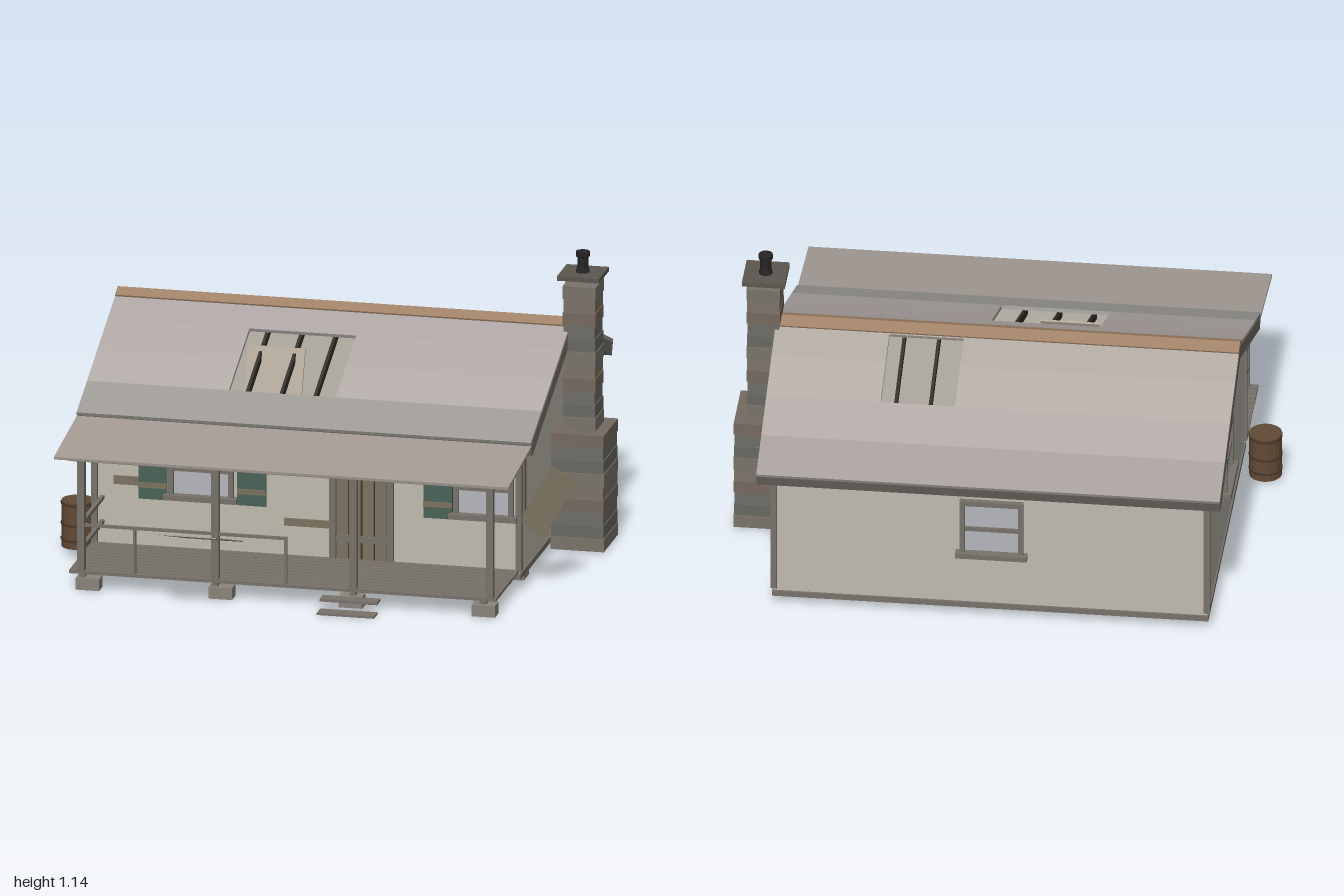
import * as THREE from 'three';

const mats = {};
const mat = (color) => (mats[color] ??= new THREE.MeshStandardMaterial({ color, flatShading: true, side: THREE.DoubleSide }));
const WALL = 0xc0bbb0, TRIM = 0x78726a, WOOD = 0x7c725f, DARK = 0x35312c, GREEN = 0x4a6258, GLASS = 0xb4b7bd;

// Box given by its ranges on x, y and z
function box(parent, name, [x0, x1], [y0, y1], [z0, z1], color) {
  const m = new THREE.Mesh(new THREE.BoxGeometry(x1 - x0, y1 - y0, z1 - z0), mat(color));
  m.position.set((x0 + x1) / 2, (y0 + y1) / 2, (z0 + z1) / 2);
  m.name = name;
  parent.add(m);
  return m;
}

function group(parent, name) {
  const g = new THREE.Group();
  g.name = name;
  parent.add(g);
  return g;
}

const XL = -0.84, XR = 0.79, ZF = 0.32, ZB = -0.92;
const RIDGE_Y = 0.875, RIDGE_Z = -0.3, ANGLE = 0.392, COS = Math.cos(ANGLE);
const ROOF_X = [-0.895, 0.85];

// Sash window facing local +z, centred on x = 0
function makeWindow(parent, name, w) {
  const g = group(parent, name), h = w / 2;
  box(g, 'glass', [-h, h], [0.285, 0.49], [0, 0.006], GLASS);
  for (const s of [-1, 1]) {
    const a = s * h, b = s * (h + 0.02);
    box(g, 'frameSide', [Math.min(a, b), Math.max(a, b)], [0.275, 0.5], [0, 0.018], TRIM);
  }
  box(g, 'frameTop', [-h - 0.02, h + 0.02], [0.485, 0.505], [0, 0.02], TRIM);
  box(g, 'sashBar', [-h, h], [0.373, 0.39], [0, 0.014], TRIM);
  box(g, 'sill', [-h - 0.035, h + 0.035], [0.262, 0.282], [0, 0.035], TRIM);
  return g;
}

function makeShutter(parent, x) {
  const g = group(parent, 'shutter');
  box(g, 'shutterPanel', [x - 0.055, x + 0.055], [0.255, 0.495], [ZF, ZF + 0.012], GREEN);
  for (const y of [0.3, 0.45]) box(g, 'shutterBatten', [x - 0.055, x + 0.055], [y, y + 0.02], [ZF, ZF + 0.018], WOOD);
}

// One roof slope in courses; hole = [x0, x1, d0, d1] with d measured level from the ridge
function makeSlope(parent, dir, cuts, hole, colors) {
  const g = group(parent, dir > 0 ? 'frontRoofSlope' : 'backRoofSlope');
  g.position.set(0, RIDGE_Y, RIDGE_Z);
  g.rotation.x = dir * ANGLE;
  const span = (a, b) => [a, b].map((d) => (dir * d) / COS).sort((p, q) => p - q);
  const end = cuts.at(-1);
  for (let i = 0; i + 1 < cuts.length; i++) {
    const open = cuts[i] >= hole[2] && cuts[i + 1] <= hole[3];
    const pieces = open ? [[ROOF_X[0], hole[0]], [hole[1], ROOF_X[1]]] : [ROOF_X];
    for (const p of pieces) box(g, 'roofCourse', p, [-0.014, 0], span(cuts[i], cuts[i + 1]), colors[i]);
  }
  for (let x = -0.805; x < 0.78; x += 0.13) box(g, 'rafter', [x - 0.006, x + 0.006], [-0.045, -0.015], span(0.02, end - 0.1), DARK);
  for (const x of [ROOF_X[0], ROOF_X[1] - 0.02]) box(g, 'bargeboard', [x, x + 0.02], [-0.062, -0.013], span(0, end), TRIM);
  box(g, 'fascia', ROOF_X, [-0.062, -0.013], span(end - 0.018, end), TRIM);
  box(g, 'ridgeCap', ROOF_X, [0, 0.007], span(-0.002, 0.045), 0xa08268);
}

function makeHouse(root) {
  const g = group(root, 'house');
  // Floor with timber sill around it
  box(g, 'underfloor', [XL, XR], [0.035, 0.055], [ZB, ZF], DARK);
  box(g, 'floorBoards', [XL + 0.02, XR - 0.02], [0.056, 0.062], [ZB + 0.02, ZF - 0.02], WOOD);
  for (const z of [ZF, ZB]) box(g, 'sillBeam', [XL - 0.006, XR + 0.006], [0.034, 0.056], [z - 0.008, z + 0.008], TRIM);
  for (const x of [XL, XR]) box(g, 'sillBeam', [x - 0.006, x + 0.006], [0.034, 0.056], [ZB, ZF], TRIM);
  // Walls
  box(g, 'frontWall', [XL, XR], [0.05, 0.59], [ZF - 0.015, ZF], WALL);
  box(g, 'backWall', [XL, XR], [0.05, 0.59], [ZB, ZB + 0.015], WALL);
  const gable = new THREE.Shape([[-ZF, 0.05], [-ZB, 0.05], [-ZB, 0.59], [-RIDGE_Z, 0.85], [-ZF, 0.59]].map((p) => new THREE.Vector2(...p)));
  const gableGeo = new THREE.ExtrudeGeometry(gable, { depth: 0.015, bevelEnabled: false }).rotateY(Math.PI / 2);
  for (const x of [XL, XR - 0.015]) {
    const m = new THREE.Mesh(gableGeo, mat(WALL));
    m.position.x = x;
    m.name = 'gableWall';
    g.add(m);
  }
  for (const x of [XL, XR]) for (const z of [ZF, ZB])
    box(g, 'cornerBoard', [x - 0.012, x + 0.012], [0.07, 0.56], [z - 0.012, z + 0.012], TRIM);
  // Windows and shutters
  makeWindow(g, 'frontLeftWindow', 0.21).position.set(-0.43, 0, ZF);
  makeWindow(g, 'frontRightWindow', 0.19).position.set(0.655, 0, ZF);
  const back = makeWindow(g, 'backWindow', 0.2);
  back.position.set(-0.03, 0, ZB);
  back.rotation.y = Math.PI;
  const side = makeWindow(g, 'sideWindow', 0.18);
  side.position.set(XL, 0, -0.3);
  side.rotation.y = -Math.PI / 2;
  for (const x of [-0.615, -0.235, 0.48]) makeShutter(g, x);
  const loose = box(g, 'looseShutter', [-0.057, 0.057], [-0.13, 0.13], [-0.003, 0.003], WOOD);
  loose.position.set(0.9, 0.345, 0.315);
  loose.rotation.z = -0.52;
  box(g, 'sideBoard', [XR, XR + 0.014], [0.26, 0.505], [0.262, 0.296], WOOD);
  // Plank door
  const d = group(g, 'door');
  for (const x of [0.065, 0.285]) box(d, 'doorJamb', [x, x + 0.025], [0.07, 0.5], [ZF, ZF + 0.022], TRIM);
  box(d, 'doorHead', [0.065, 0.31], [0.485, 0.508], [ZF, ZF + 0.024], TRIM);
  box(d, 'doorBacking', [0.09, 0.285], [0.07, 0.49], [ZF, ZF + 0.004], DARK);
  for (let i = 0; i < 4; i++) box(d, 'doorPlank', [0.092 + i * 0.049, 0.135 + i * 0.049], [0.072, 0.487], [ZF, ZF + 0.012], WOOD);
  for (const y of [0.14, 0.39]) box(d, 'doorBrace', [0.09, 0.285], [y, y + 0.025], [ZF, ZF + 0.016], TRIM);
  // Boards nailed to the wall
  box(g, 'nailedBoard', [-0.765, -0.6], [0.305, 0.337], [ZF, ZF + 0.01], WOOD);
  box(g, 'nailedBoard', [-0.11, 0.065], [0.187, 0.215], [ZF, ZF + 0.01], WOOD);
}

function makeRoof(root) {
  const g = group(root, 'roof');
  makeSlope(g, 1, [0, 0.17, 0.34, 0.51, 0.685], [-0.35, 0.06, 0.17, 0.51], [0xaca5a3, 0xb0a7a5, 0xb0a9a5, 0x9c9994]);
  makeSlope(g, -1, [0, 0.05, 0.17, 0.34, 0.51, 0.68], [0.14, 0.42, 0.05, 0.34], [0xb0a9a0, 0xb0a9a0, 0xb4ada4, 0xb2a8a6, 0xa69e9a]);
  // Panel fallen into the front hole
  const p = box(g, 'fallenPanel', [-0.335, -0.115], [-0.11, 0.11], [-0.004, 0.004], 0xb5aa9c);
  p.position.set(-0.225, 0.665, -0.005);
  p.rotation.x = -0.38;
  // Lean-to roof over the porch
  const porch = box(g, 'porchRoof', ROOF_X, [-0.005, 0.005], [-0.215, 0.215], 0xa49b94);
  porch.position.set((ROOF_X[0] + ROOF_X[1]) / 2, 0.551, 0.548);
  porch.rotation.x = 0.125;
}

function makePorch(root) {
  const g = group(root, 'porch');
  for (let i = 0; i < 11; i++) box(g, 'deckPlank', [-0.85, 0.79], [0.062, 0.074], [0.328 + i * 0.035, 0.357 + i * 0.035], TRIM);
  const posts = [-0.805, -0.29, 0.24, 0.765];
  for (const x of [-0.8, -0.29, 0.24, 0.74]) box(g, 'joist', [x - 0.012, x + 0.012], [0.045, 0.062], [0.32, 0.71], TRIM);
  for (const x of posts) box(g, 'porchPost', [x - 0.014, x + 0.014], [0.07, 0.53], [0.68, 0.707], TRIM);
  box(g, 'porchBeam', [-0.85, 0.79], [0.5, 0.522], [0.682, 0.705], TRIM);
  // Railing
  box(g, 'frontRail', [-0.805, -0.02], [0.245, 0.256], [0.688, 0.699], TRIM);
  for (const x of [-0.6, -0.02]) box(g, 'baluster', [x - 0.005, x + 0.005], [0.074, 0.256], [0.688, 0.699], TRIM);
  for (const y of [0.15, 0.245]) box(g, 'sideRail', [-0.815, -0.8], [y, y + 0.014], [0.33, 0.69], TRIM);
  // Blown panel leaning in the air
  const p = box(g, 'loosePanel', [-0.11, 0.11], [-0.002, 0.002], [-0.235, 0.235], 0xa89d94);
  p.position.set(-0.33, 0.252, 0.765);
  p.rotation.x = -0.312;
  // Steps
  box(g, 'upperStep', [0.13, 0.35], [0.04, 0.05], [0.725, 0.78], TRIM);
  box(g, 'lowerStep', [0.13, 0.35], [0.002, 0.01], [0.77, 0.83], TRIM);
  // Stone piers under the porch and house
  for (const x of [-0.775, -0.265, 0.235, 0.745]) {
    box(g, 'porchPier', [x - 0.045, x + 0.045], [0.005, 0.05], [0.665, 0.725], 0x8a857c);
    for (const z of [0.2, -0.32, -0.83]) box(g, 'housePier', [x - 0.045, x + 0.045], [0.008, 0.036], [z - 0.045, z + 0.045], 0x8a857c);
  }
}

function makeChimney(root) {
  const g = group(root, 'chimney');
  const tones = [0x79736a, 0x6f6d66, 0x7d7368, 0x686a62, 0x756a60];
  const stack = (x0, x1, z0, z1, y0, y1, n) => {
    const h = (y1 - y0) / n;
    for (let i = 0; i < n; i++) {
      const e = ((i * 7) % 5) * 0.001;
      box(g, 'stoneCourse', [x0 + e, x1 - e], [y0 + i * h, y0 + (i + 1) * h - 0.002], [z0 + e, z1 - e], tones[(i * 3) % 5]);
    }
  };
  stack(0.795, 1.0, -0.415, -0.175, 0.008, 0.463, 9);
  stack(0.83, 0.957, -0.363, -0.223, 0.463, 1.025, 11);
  box(g, 'chimneyCap', [0.81, 0.972], [1.045, 1.062], [-0.38, -0.217], 0x5c5850);
  const pot = [[0, 1.06], [0.027, 1.06], [0.021, 1.085], [0.021, 1.12], [0.027, 1.125], [0.027, 1.142], [0, 1.142]];
  const m = new THREE.Mesh(new THREE.LatheGeometry(pot.map((p) => new THREE.Vector2(...p)), 12), mat(0x262523));
  m.position.set(0.891, 0, -0.298);
  m.name = 'chimneyPot';
  g.add(m);
}

function makeBarrel(root) {
  const g = group(root, 'barrel');
  g.position.set(-0.936, 0, 0.185);
  const add = (name, geo, y, color) => {
    const m = new THREE.Mesh(geo, mat(color));
    m.position.y = y;
    m.name = name;
    g.add(m);
  };
  add('barrelBody', new THREE.CylinderGeometry(0.062, 0.062, 0.18, 18), 0.1, 0x624a36);
  for (const y of [0.04, 0.1, 0.18]) add('barrelHoop', new THREE.CylinderGeometry(0.064, 0.064, 0.009, 18), y, 0x4a382b);
}

export function createModel() {
  const root = new THREE.Group();
  root.name = 'abandonedCabin';
  for (const build of [makeHouse, makeRoof, makePorch, makeChimney, makeBarrel]) build(root);
  return root;
}
